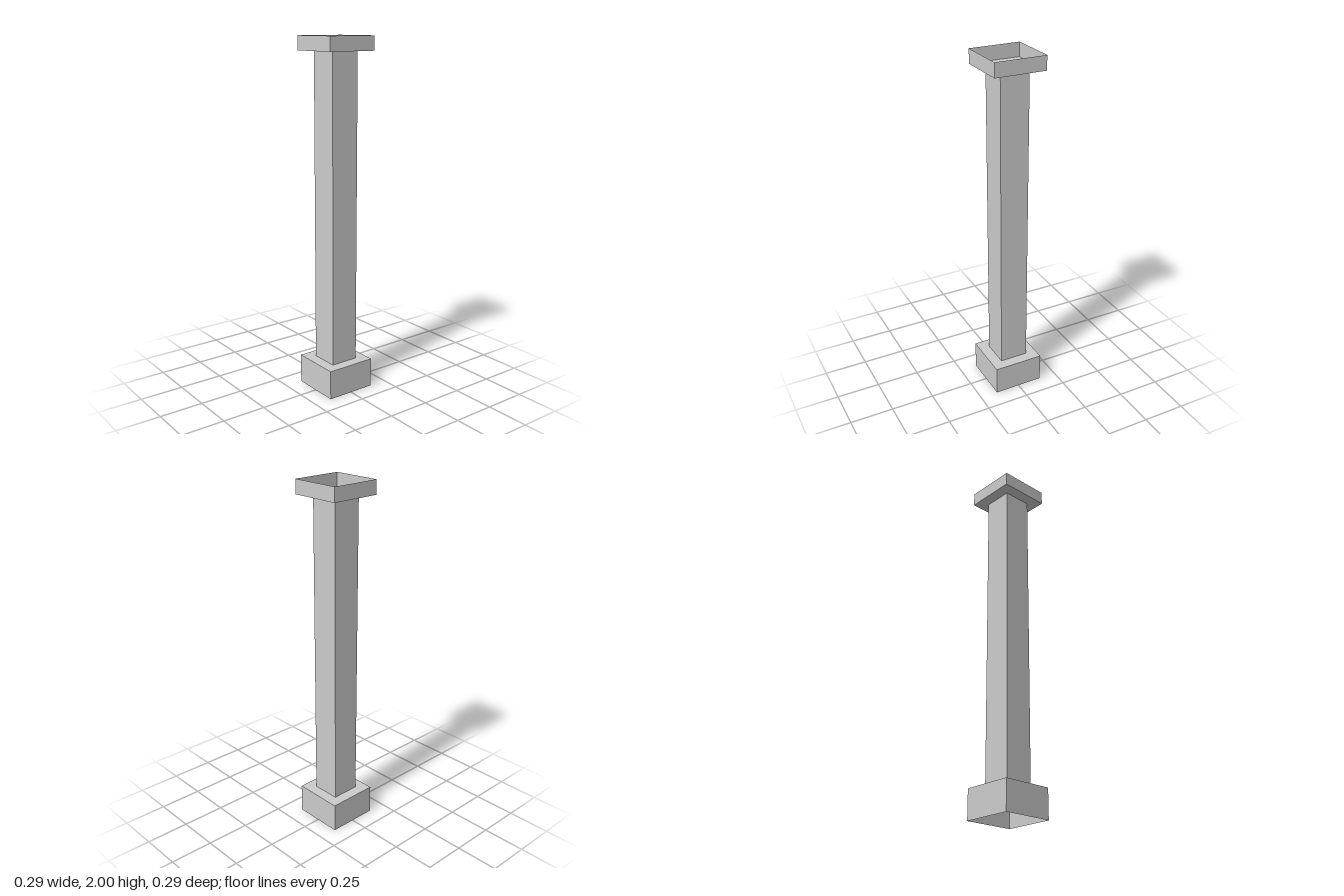
import * as THREE from 'three';

const material = new THREE.MeshStandardMaterial({
  color: 0xcccccc, flatShading: true, side: THREE.DoubleSide,
});

// Box between two heights, leaving out the listed faces (order: +x -x +y -y +z -z)
function openBox(name, width, y0, y1, omitted) {
  const geometry = new THREE.BoxGeometry(width, y1 - y0, width);
  const index = Array.from(geometry.index.array);
  geometry.setIndex(index.filter((_, i) => !omitted.includes(Math.floor(i / 6))));
  geometry.clearGroups();
  const mesh = new THREE.Mesh(geometry, material);
  mesh.name = name;
  mesh.position.y = (y0 + y1) / 2;
  return mesh;
}

export function createModel() {
  const TOP = 2, BOTTOM = 3;
  const group = new THREE.Group();
  group.name = 'squareColumn';
  group.add(
    openBox('base', 0.292, 0, 0.168, [BOTTOM]),           // hollow plinth, open underneath
    openBox('shaft', 0.166, 0.168, 1.921, [TOP, BOTTOM]), // ends closed by base and capital
    openBox('capital', 0.292, 1.921, 2, [TOP]),           // shallow tray, open above
  );
  return group;
}
